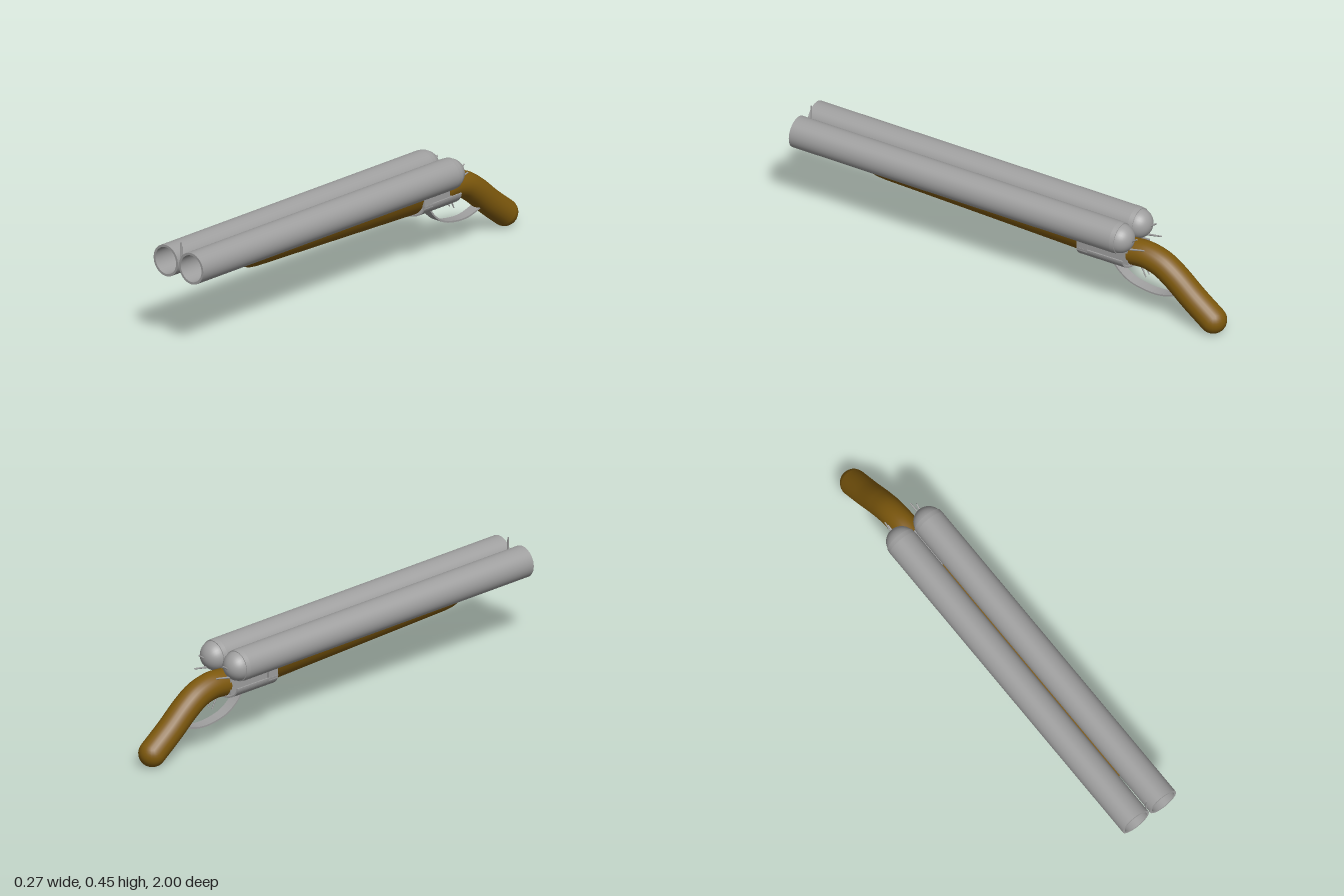
import * as THREE from 'three';

const steel = new THREE.MeshStandardMaterial({ color: 0x9f9f9f, side: THREE.DoubleSide });
steel.name = 'steel grey';
const wood = new THREE.MeshStandardMaterial({ color: 0x7e590d, side: THREE.DoubleSide });
wood.name = 'brown wood';

function add(parent, name, geometry, material, x = 0, y = 0, z = 0) {
  const mesh = new THREE.Mesh(geometry, material);
  mesh.name = name;
  mesh.position.set(x, y, z);
  parent.add(mesh);
  return mesh;
}

// Thin tapered pin running from one point to another
function pin(parent, name, from, to, radius) {
  const dir = to.clone().sub(from);
  const mesh = add(parent, name, new THREE.CylinderGeometry(radius * 0.6, radius, dir.length(), 8), steel);
  mesh.position.copy(from).addScaledVector(dir, 0.5);
  mesh.quaternion.setFromUnitVectors(new THREE.Vector3(0, 1, 0), dir.normalize());
}

// One hollow barrel, built upright then laid along z
function makeBarrel(x) {
  const g = new THREE.Group();
  g.name = 'barrel';
  const len = 1.53;
  add(g, 'barrelOuter', new THREE.CylinderGeometry(0.067, 0.067, len, 40, 1, true), steel, 0, len / 2, 0);
  add(g, 'barrelBore', new THREE.CylinderGeometry(0.057, 0.057, len, 40, 1, true), steel, 0, len / 2, 0);
  const rim = add(g, 'muzzleRim', new THREE.RingGeometry(0.057, 0.067, 40), steel, 0, len, 0);
  rim.rotation.x = -Math.PI / 2;
  // Breech collar and domed rear
  add(g, 'breechCollar', new THREE.CylinderGeometry(0.067, 0.065, 0.02, 40), steel, 0, -0.01, 0);
  add(g, 'breechDome', new THREE.SphereGeometry(0.063, 32, 12, 0, Math.PI * 2, Math.PI / 2, Math.PI / 2), steel, 0, -0.01, 0);
  g.position.set(x, 0.352, -0.53);
  g.rotation.x = Math.PI / 2 - 0.0065;
  return g;
}

// Fore-end: flat-topped rounded section lofted along z, [z, top, bottom, half width]
function forendGeometry() {
  const sections = [
    [-0.36, 0.35, 0.21, 0.11], [0.1, 0.355, 0.228, 0.11], [0.58, 0.36, 0.246, 0.11],
    [0.62, 0.36, 0.251, 0.11], [0.73, 0.36, 0.30, 0.112], [0.8, 0.362, 0.352, 0.113],
  ];
  const n = 24, pos = [], idx = [];
  for (const [z, top, bottom, w] of sections) {
    for (let i = 0; i <= n; i++) {
      const a = Math.PI * i / n;
      const c = Math.cos(a), s = Math.sin(a);
      pos.push(w * Math.sign(c) * Math.pow(Math.abs(c), 0.85), top - (top - bottom) * s, z);
    }
  }
  const row = n + 1;
  for (let k = 0; k < sections.length - 1; k++) {
    for (let i = 0; i < n; i++) {
      const a = k * row + i, b = a + row;
      idx.push(a, a + 1, b, a + 1, b + 1, b);
    }
  }
  const body = new THREE.BufferGeometry();
  body.setAttribute('position', new THREE.Float32BufferAttribute(pos, 3));
  body.setIndex(idx);
  // Flat top and end faces, kept separate for crisp edges
  const capIdx = [];
  for (let k = 0; k < sections.length - 1; k++) {
    const a = k * row, b = a + row;
    capIdx.push(a, b, a + n, a + n, b, b + n);
  }
  const last = (sections.length - 1) * row;
  for (let i = 1; i < n; i++) {
    capIdx.push(0, i + 1, i, last, last + i, last + i + 1);
  }
  const caps = new THREE.BufferGeometry();
  caps.setAttribute('position', new THREE.Float32BufferAttribute(pos, 3));
  caps.setIndex(capIdx);
  const flat = caps.toNonIndexed();
  flat.computeVertexNormals();
  // Winding is reversed so the skin faces outward
  for (let i = 0; i < idx.length; i += 3) [idx[i + 1], idx[i + 2]] = [idx[i + 2], idx[i + 1]];
  body.setIndex(orient(body, idx));
  body.computeVertexNormals();
  return [body, flat];
}

// Turn each triangle so that it faces away from the long axis
function orient(geometry, idx) {
  const p = geometry.attributes.position;
  const v = [new THREE.Vector3(), new THREE.Vector3(), new THREE.Vector3()];
  const out = [];
  for (let i = 0; i < idx.length; i += 3) {
    v.forEach((q, j) => q.fromBufferAttribute(p, idx[i + j]));
    const mid = new THREE.Vector3().add(v[0]).add(v[1]).add(v[2]).divideScalar(3);
    const normal = v[1].clone().sub(v[0]).cross(v[2].clone().sub(v[0]));
    const away = new THREE.Vector3(mid.x, mid.y - 0.37, 0);
    if (normal.dot(away) >= 0) out.push(idx[i], idx[i + 1], idx[i + 2]);
    else out.push(idx[i], idx[i + 2], idx[i + 1]);
  }
  return out;
}

// Curved plate: an elliptical arc with thickness, extruded along z
function trough(halfWidth, top, bottom, thick, length) {
  const s = new THREE.Shape();
  s.absellipse(0, top, halfWidth, top - bottom, Math.PI, Math.PI * 2, false, 0);
  s.lineTo(halfWidth - thick, top);
  s.absellipse(0, top, halfWidth - thick, top - bottom - thick, Math.PI * 2, Math.PI, true, 0);
  s.closePath();
  return new THREE.ExtrudeGeometry(s, { depth: length, bevelEnabled: false, curveSegments: 20 });
}

// Flat strip of metal following a curve in the side plane, points are (z, y)
function strip(points, width, thick) {
  const line = new THREE.SplineCurve(points.map(p => new THREE.Vector2(-p[0], p[1])));
  const outer = [], inner = [];
  for (let i = 0; i <= 24; i++) {
    const p = line.getPoint(i / 24), t = line.getTangent(i / 24);
    outer.push(new THREE.Vector2(p.x - t.y * thick / 2, p.y + t.x * thick / 2));
    inner.unshift(new THREE.Vector2(p.x + t.y * thick / 2, p.y - t.x * thick / 2));
  }
  const geo = new THREE.ExtrudeGeometry(new THREE.Shape([...outer, ...inner]), { depth: width, bevelEnabled: false });
  geo.translate(0, 0, -width / 2);
  geo.rotateY(Math.PI / 2);
  return geo;
}

export function createModel() {
  const model = new THREE.Group();
  model.name = 'doubleBarrel';
  const V = (x, y, z) => new THREE.Vector3(x, y, z);

  for (const side of [-1, 1]) {
    model.add(makeBarrel(side * 0.07));
    // Hammer pins behind each dome
    pin(model, 'hammer', V(side * 0.07, 0.34, -0.58), V(side * 0.074, 0.372, -0.625), 0.005);
    pin(model, 'hammer', V(side * 0.07, 0.31, -0.58), V(side * 0.066, 0.325, -0.655), 0.005);
    // Raised cheek of the receiver beside the fore-end
    add(model, 'receiverCheek', new THREE.BoxGeometry(0.012, 0.05, 0.05), steel, side * 0.099, 0.28, -0.38);
    // Triggers
    pin(model, 'trigger', V(side * 0.012, 0.225, -0.6), V(side * 0.012, 0.165, -0.63), 0.004);
  }

  // Front sight between the muzzles
  add(model, 'frontSight', new THREE.CylinderGeometry(0.003, 0.004, 0.082, 8), steel, -0.002, 0.411, 0.98);

  // Fore-end
  const [skin, caps] = forendGeometry();
  add(model, 'forend', skin, wood);
  add(model, 'forendFaces', caps, wood);

  // Receiver: curved plate with a filled core
  add(model, 'receiverShell', trough(0.106, 0.268, 0.204, 0.006, 0.22), steel, 0, 0, -0.575);
  add(model, 'receiverCore', new THREE.BoxGeometry(0.11, 0.08, 0.205), steel, 0, 0.262, -0.465);

  // Pistol grip with a rounded end
  const path = new THREE.CatmullRomCurve3([
    V(0, 0.262, -0.56), V(0, 0.264, -0.63), V(0, 0.245, -0.7), V(0, 0.205, -0.762), V(0, 0.13, -0.85), V(0, 0.058, -0.943),
  ]);
  add(model, 'grip', new THREE.TubeGeometry(path, 40, 0.057, 24, false), wood);
  add(model, 'gripEnd', new THREE.SphereGeometry(0.057, 24, 16), wood, 0, 0.058, -0.943);
  add(model, 'gripFront', new THREE.CircleGeometry(0.057, 24), wood, 0, 0.262, -0.56);

  // Trigger guard
  add(model, 'triggerGuard', strip([
    [-0.47, 0.21], [-0.505, 0.165], [-0.56, 0.127], [-0.64, 0.109], [-0.71, 0.11], [-0.78, 0.13],
  ], 0.046, 0.007), steel);

  return model;
}
